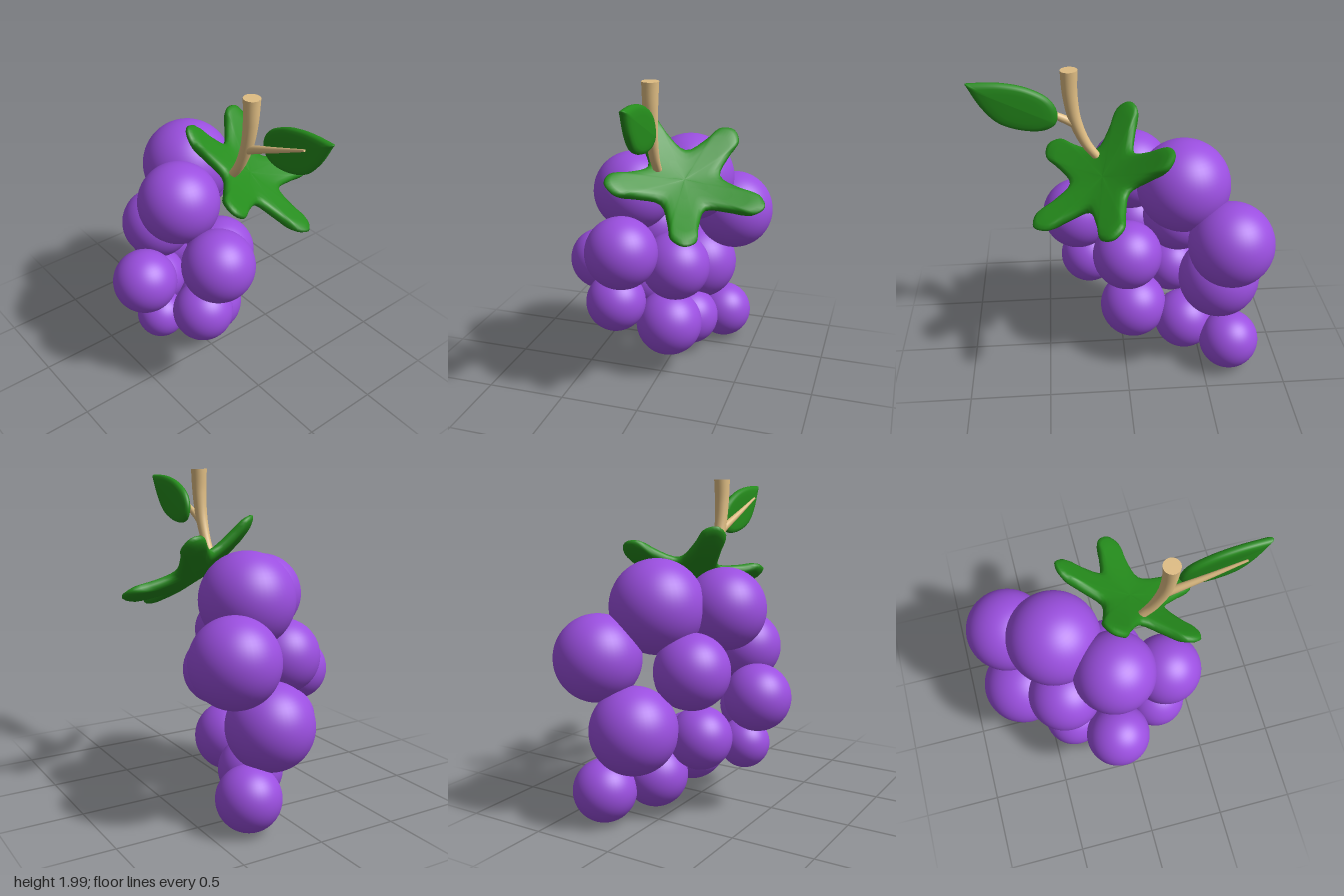
import * as THREE from 'three';

const purple = new THREE.MeshStandardMaterial({ color: 0x9b4fe0 });
const green = new THREE.MeshStandardMaterial({ color: 0x258c1c });
const wood = new THREE.MeshStandardMaterial({ color: 0xdebc82 });

function addMesh(parent, name, geometry, material) {
  const mesh = new THREE.Mesh(geometry, material);
  mesh.name = name;
  parent.add(mesh);
  return mesh;
}

// Round-edged slab around the origin: outline in xy, thickness along z, bent by lift(x, y)
function slab(outline, thickness, lift) {
  const curve = new THREE.CatmullRomCurve3(outline.map(([x, y]) => new THREE.Vector3(x, y, 0)), true);
  const n = 120;
  const rim = curve.getPoints(n);
  const half = [[0.001, 1], [0.3, 1], [0.6, 1], [0.8, 0.95], [0.92, 0.78], [0.98, 0.42]];
  const section = [...half, [1, 0], ...half.map(([s, h]) => [s, -h]).reverse()];
  const pos = [], index = [];
  section.forEach(([s, h], i) => {
    for (let j = 0; j < n; j++) {
      const x = rim[j].x * s, y = rim[j].y * s;
      pos.push(x, y, h * thickness / 2 + lift(x, y));
      if (i === section.length - 1) continue;
      const a = i * n + j, b = i * n + (j + 1) % n;
      index.push(a, a + n, b + n, a, b + n, b);
    }
  });
  const g = new THREE.BufferGeometry();
  g.setAttribute('position', new THREE.Float32BufferAttribute(pos, 3));
  g.setIndex(index);
  g.computeVertexNormals();
  return g;
}

// Tube whose radius runs from r0 to r1, closed with a flat cap at its far end
function taperedTube(parent, name, points, r0, r1) {
  const curve = new THREE.CatmullRomCurve3(points.map(p => new THREE.Vector3(...p)));
  const segs = 32, sides = 24;
  const g = new THREE.TubeGeometry(curve, segs, 1, sides);
  const p = g.attributes.position, v = new THREE.Vector3();
  for (let i = 0; i <= segs; i++) {
    const c = curve.getPointAt(i / segs);
    const r = r0 + (r1 - r0) * i / segs;
    for (let j = 0; j <= sides; j++) {
      const k = i * (sides + 1) + j;
      v.fromBufferAttribute(p, k).sub(c).multiplyScalar(r).add(c);
      p.setXYZ(k, v.x, v.y, v.z);
    }
  }
  addMesh(parent, name, g, wood);
  const cap = addMesh(parent, name + 'Cap', new THREE.CircleGeometry(r1, sides), wood);
  const end = curve.getPointAt(1);
  cap.position.copy(end);
  cap.lookAt(end.clone().add(curve.getTangentAt(1)));
}

export function createModel() {
  const model = new THREE.Group();
  model.name = 'grapeBunch';

  // Grapes: x, y, z, radius
  const grapes = new THREE.Group();
  grapes.name = 'grapes';
  model.add(grapes);
  [
    [-0.36, 1.26, -0.09, 0.284], [-0.06, 1.23, 0.20, 0.25], [-0.625, 0.975, -0.33, 0.26],
    [-0.37, 0.90, 0.155, 0.227], [-0.615, 0.57, -0.09, 0.26], [-0.34, 0.50, 0.195, 0.188],
    [-0.10, 0.725, 0.445, 0.20], [-0.08, 0.425, 0.35, 0.152], [0.28, 0.94, 0.165, 0.223],
    [0.21, 0.58, 0.23, 0.187], [-0.065, 0.34, -0.035, 0.215], [-0.40, 0.24, -0.085, 0.195],
    [-0.67, 0.192, -0.265, 0.19], [-0.02, 0.77, -0.09, 0.218],
  ].forEach(([x, y, z, r]) => {
    addMesh(grapes, 'grape', new THREE.SphereGeometry(r, 48, 32), purple).position.set(x, y, z);
  });

  // Five-lobed leafy crown, slightly cupped and tilted
  const lobe = [[0.186, -0.135], [0.34, -0.088], [0.45, -0.072], [0.495, 0], [0.45, 0.072], [0.34, 0.088]];
  const star = [];
  for (let i = 0; i < 5; i++) {
    const c = Math.cos(i * Math.PI * 0.4), s = Math.sin(i * Math.PI * 0.4);
    lobe.forEach(([x, y]) => star.push([x * c - y * s, x * s + y * c]));
  }
  const crown = addMesh(model, 'crown', slab(star, 0.07, (x, y) => 0.33 * (x * x + y * y) - 0.07), green);
  const normal = new THREE.Vector3(0.506, 0.79, -0.346).normalize();
  const along = new THREE.Vector3(-0.06, -0.18, -0.42).projectOnPlane(normal).normalize();
  const across = normal.clone().cross(along);
  crown.quaternion.setFromRotationMatrix(new THREE.Matrix4().makeBasis(along, across, normal));
  crown.position.set(0.154, 1.42, -0.2);

  // Curved stem with a side twig
  taperedTube(model, 'stem',
    [[0.14, 1.42, -0.03], [0.22, 1.53, -0.03], [0.28, 1.68, -0.032], [0.305, 1.84, -0.034], [0.308, 1.99, -0.035]],
    0.024, 0.05);
  taperedTube(model, 'twig',
    [[0.28, 1.66, -0.035], [0.36, 1.7, -0.03], [0.52, 1.77, -0.025], [0.735, 1.865, -0.022]], 0.027, 0.007);

  // Leaf on the twig, with a shallow fold along its middle
  const leafOutline = [[0.292, 0.152], [0.27, 0.154], [0.11, 0.15], [-0.05, 0.112], [-0.17, 0.04], [-0.21, -0.04],
    [-0.195, -0.11], [-0.13, -0.145], [0, -0.14], [0.13, -0.09], [0.22, 0.01], [0.282, 0.13]];
  const fold = (x, y) => 0.06 * Math.abs(y * 0.9 - x * 0.43) - 0.004;
  addMesh(model, 'leaf', slab(leafOutline, 0.055, fold), green).position.set(0.59, 1.79, -0.072);

  return model;
}
